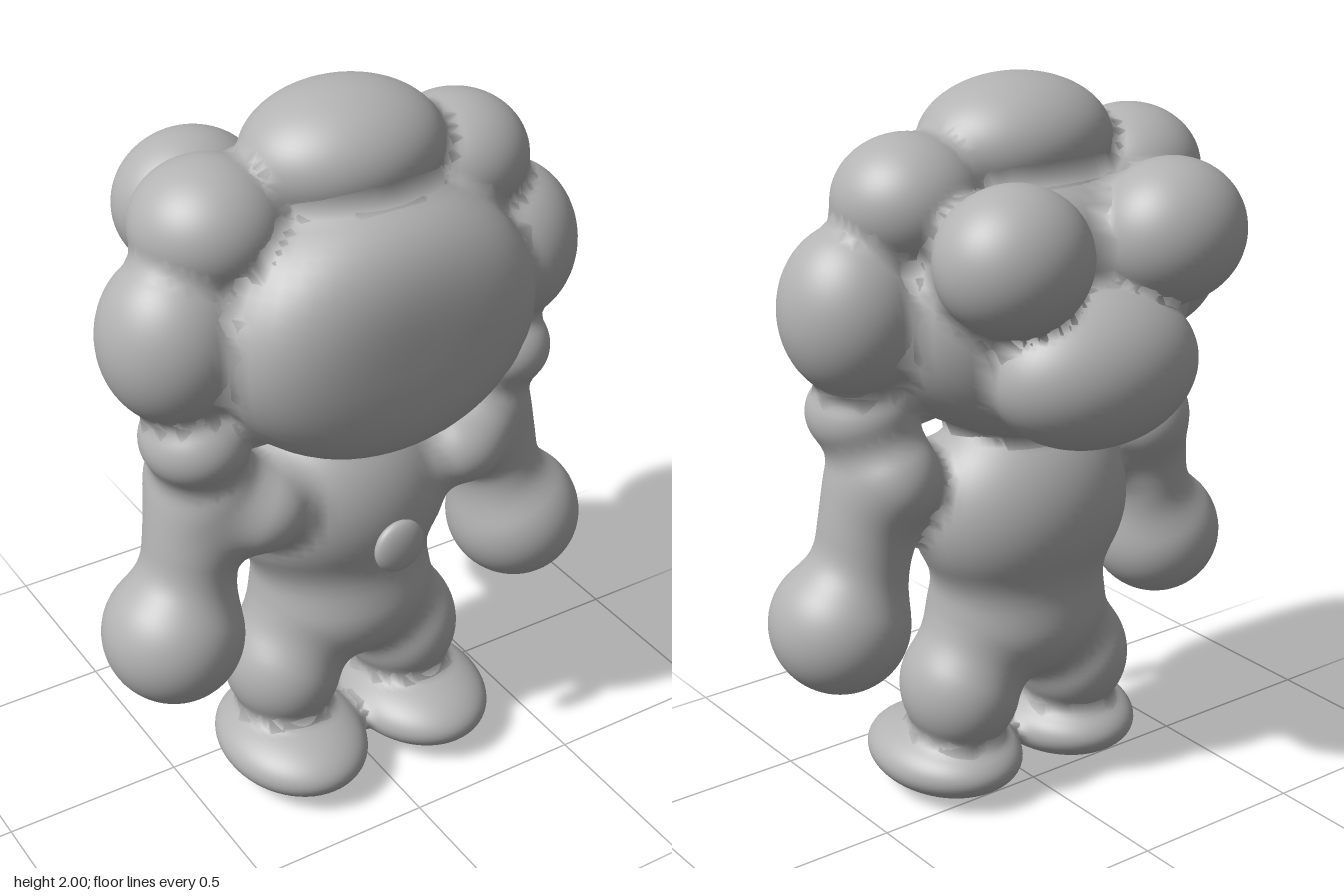
import * as THREE from 'three';

const REACH = 0.05; // furthest a surface is pushed out to form a fillet

// Rounded volumes: name, centre, radii, fillet width, front-to-back squareness (2 = ellipsoid)
const blobs = [];
function blob(name, c, r, fillet, n = 2) {
  blobs.push({ name, c, r, fillet, n });
}
function pair(name, c, r, fillet) {
  blob('left' + name, c, r, fillet);
  blob('right' + name, [-c[0], c[1], c[2]], r, fillet);
}

// Size of a point relative to a volume: elliptical in x and y, squarer towards z
function norm(n, x, y, z) {
  return Math.pow(Math.pow(x * x + y * y, n / 2) + Math.pow(Math.abs(z), n), 1 / n);
}

// Approximate signed distance to one volume
function distance(b, x, y, z) {
  const qx = (x - b.c[0]) / b.r[0], qy = (y - b.c[1]) / b.r[1], qz = (z - b.c[2]) / b.r[2];
  const k = norm(b.n, qx, qy, qz) + 1e-9;
  const side = Math.pow(Math.hypot(qx, qy) / k + 1e-9, b.n - 2) / k;
  const front = Math.pow(Math.abs(qz) / k, b.n - 1);
  return (k - 1) / (Math.hypot(side * qx / b.r[0], side * qy / b.r[1], front / b.r[2]) + 1e-9);
}

// Smooth union of a list of volumes
function field(list, x, y, z) {
  let f = 10;
  for (const b of list) {
    const d = distance(b, x, y, z);
    const h = Math.max(b.fillet - Math.abs(f - d), 0) / b.fillet;
    f = Math.min(f, d) - h * h * b.fillet / 4;
  }
  return f;
}

function gradient(list, v) {
  const e = 0.002;
  return new THREE.Vector3(
    field(list, v.x + e, v.y, v.z) - field(list, v.x - e, v.y, v.z),
    field(list, v.x, v.y + e, v.z) - field(list, v.x, v.y - e, v.z),
    field(list, v.x, v.y, v.z + e) - field(list, v.x, v.y, v.z - e)
  ).normalize();
}

// Sphere shaped to the volume, then pushed out to meet its neighbours in a fillet
function blendedGeometry(b) {
  const near = blobs.filter(o => o.c.every((c, i) => Math.abs(c - b.c[i]) < o.r[i] + b.r[i] + 0.2));
  const geo = new THREE.SphereGeometry(1, 60, 38);
  const pos = geo.attributes.position, nor = geo.attributes.normal;
  const v = new THREE.Vector3(), p = new THREE.Vector3();
  for (let i = 0; i < pos.count; i++) {
    v.fromBufferAttribute(pos, i);
    const s = 1 / norm(b.n, v.x, v.y, v.z);
    v.set(b.c[0] + v.x * s * b.r[0], b.c[1] + v.y * s * b.r[1], b.c[2] + v.z * s * b.r[2]);
    const out = gradient([b], v);
    let t = 0;
    p.copy(v);
    for (let k = 0; k < 20; k++) {
      const f = field(near, p.x, p.y, p.z);
      if (Math.abs(f) < 1e-4) break;
      t = Math.min(t - f, REACH);
      p.copy(v).addScaledVector(out, t);
      if (t >= REACH) break;
    }
    pos.setXYZ(i, p.x, p.y, p.z);
    const n = gradient(near, p);
    nor.setXYZ(i, n.x, n.y, n.z);
  }
  return geo;
}

export function createModel() {
  blobs.length = 0;

  // Head and the ring of curls around it
  blob('head', [0, 1.425, 0.1], [0.46, 0.365, 0.365], 0.04, 3.2);
  blob('topCurl', [0, 1.83, 0.08], [0.27, 0.17, 0.222], 0.04);
  blob('leftUpperCurl', [0.345, 1.72, 0.065], [0.195, 0.17, 0.19], 0.04);
  blob('rightUpperCurl', [-0.37, 1.71, 0.065], [0.195, 0.17, 0.195], 0.04);
  pair('SideCurl', [0.49, 1.455, 0.1], [0.193, 0.225, 0.195], 0.04);
  pair('LowerCurl', [0.46, 1.17, 0.13], [0.14, 0.12, 0.152], 0.05);
  pair('BackCurl', [0.25, 1.615, -0.25], [0.207, 0.19, 0.185], 0.04);
  blob('lowerBackCurl', [0, 1.3, -0.25], [0.3, 0.21, 0.218], 0.03);

  // Torso
  blob('torso', [0, 0.84, 0.065], [0.32, 0.29, 0.248], 0.04);
  blob('hips', [0, 0.52, 0.08], [0.265, 0.2, 0.222], 0.1);

  // Arms
  pair('Shoulder', [0.31, 0.93, 0.17], [0.14, 0.115, 0.135], 0.06);
  pair('UpperArm', [0.425, 1.0, 0.085], [0.14, 0.15, 0.172], 0.06);
  pair('Forearm', [0.475, 0.82, 0.108], [0.122, 0.18, 0.135], 0.08);
  pair('Hand', [0.545, 0.595, 0.13], [0.187, 0.187, 0.194], 0.08);

  // Legs
  pair('Leg', [0.192, 0.325, 0.085], [0.16, 0.18, 0.18], 0.07);
  pair('Foot', [0.202, 0.108, 0.148], [0.2, 0.103, 0.252], 0.05);

  const grey = new THREE.MeshStandardMaterial({ color: 0xb3b3b3 });
  grey.name = 'grey';
  const model = new THREE.Group();
  model.name = 'figure';
  for (const b of blobs) {
    const mesh = new THREE.Mesh(blendedGeometry(b), grey);
    mesh.name = b.name;
    model.add(mesh);
  }

  // Round button held in front of the chest
  const button = new THREE.Mesh(new THREE.SphereGeometry(1, 40, 24), grey);
  button.name = 'button';
  button.scale.set(0.074, 0.077, 0.03);
  button.position.set(0, 0.813, 0.37);
  model.add(button);
  return model;
}
